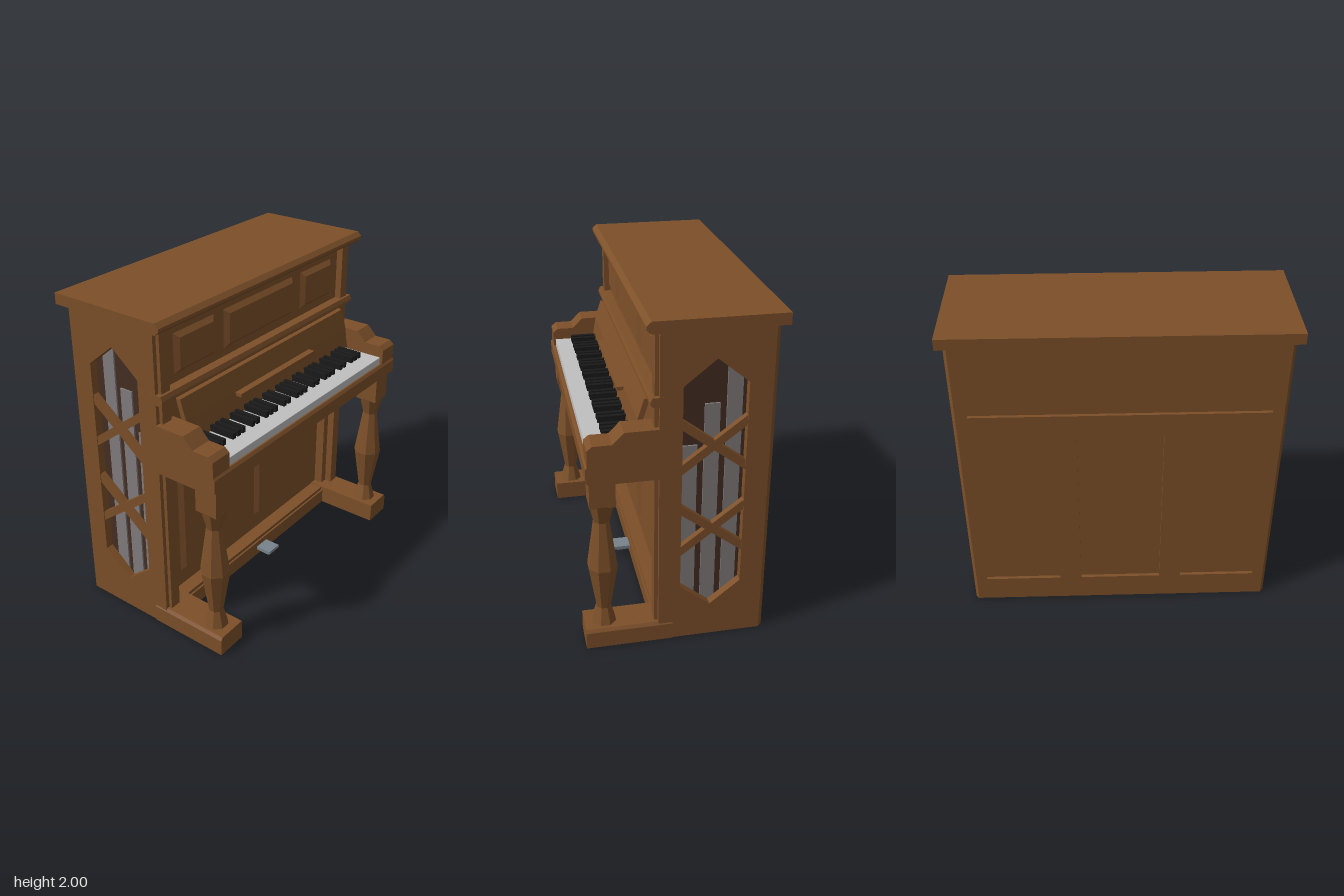
import * as THREE from 'three';

const mat = (name, color) => {
  const m = new THREE.MeshStandardMaterial({ color });
  m.name = name;
  return m;
};

export function createModel() {
  const wood = mat('brown wood', 0x7d5029);
  const dark = mat('dark interior', 0x442e23);
  const ivory = mat('white keys', 0xc0c0c0);
  const ebony = mat('black keys', 0x1a1a1a);
  const pipeGrey = mat('pipe metal', 0x817b7c);
  const steel = mat('pedal metal', 0x78828c);

  const piano = new THREE.Group();
  piano.name = 'uprightPiano';

  const add = (name, geo, material) => {
    const mesh = new THREE.Mesh(geo, material);
    mesh.name = name;
    piano.add(mesh);
    return mesh;
  };

  // Box given by its limits on each axis
  const box = (name, x0, x1, y0, y1, z0, z1, material = wood) => {
    const g = new THREE.BoxGeometry(x1 - x0, y1 - y0, z1 - z0);
    g.translate((x0 + x1) / 2, (y0 + y1) / 2, (z0 + z1) / 2);
    return add(name, g, material);
  };

  // Same box on both sides; xIn and xOut are distances from the centre
  const pair = (name, xIn, xOut, ...rest) => {
    box(name, xIn, xOut, ...rest);
    box(name, -xOut, -xIn, ...rest);
  };

  // Straight extrusion of a point list, with an optional hole
  const extrude = (pts, depth, hole) => {
    const vecs = (list) => list.map(([a, b]) => new THREE.Vector2(a, b));
    const shape = new THREE.Shape(vecs(pts));
    if (hole) shape.holes.push(new THREE.Path(vecs(hole)));
    return new THREE.ExtrudeGeometry(shape, { depth, bevelEnabled: false });
  };

  // Side profile of [z, y] points extruded from x0 to x1
  const profile = (name, pts, x0, x1, material = wood, hole = null) => {
    const g = extrude(pts, x1 - x0, hole);
    g.rotateY(-Math.PI / 2);
    g.translate(x1, 0, 0);
    return add(name, g, material);
  };

  // Raised panel with sloping edges
  const raisedPanel = (name, x0, x1, y0, y1, z, bevel = 0.028, height = 0.025) => {
    const g = new THREE.BoxGeometry(x1 - x0, y1 - y0, height);
    const p = g.attributes.position;
    for (let i = 0; i < p.count; i++) {
      if (p.getZ(i) > 0) {
        p.setX(i, p.getX(i) - Math.sign(p.getX(i)) * bevel);
        p.setY(i, p.getY(i) - Math.sign(p.getY(i)) * bevel);
      }
    }
    g.computeVertexNormals();
    g.translate((x0 + x1) / 2, (y0 + y1) / 2, z + height / 2);
    add(name, g, wood);
  };

  // Case: dark core, floor, upper and lower front boards
  box('interiorCore', -0.83, 0.83, 0.1, 1.93, -0.48, 0.02, dark);
  box('floorBoard', -0.9, 0.9, 0, 0.1, -0.485, 0.1);
  box('upperFrontBoard', -0.9, 0.9, 1.1, 1.932, 0.01, 0.105);
  box('lowerFrontBoard', -0.9, 0.9, 0.1, 1.1, 0.01, 0.04);
  box('topSpacer', -0.925, 0.925, 1.92, 1.94, -0.5, 0.12);

  // Back board with chamfered corners
  const back = extrude([[-0.945, 0.487], [0.945, 0.487], [0.925, 0.51], [-0.925, 0.51]], 1.93);
  back.rotateX(-Math.PI / 2);
  add('backBoard', back, wood);

  // Side walls with hexagonal windows, lattice bars and flat pipes
  const wall = [[-0.487, 0], [0.125, 0], [0.125, 1.93], [-0.487, 1.93]];
  const windowHole = [[0, 0.36], [0, 1.62], [-0.178, 1.765], [-0.355, 1.62], [-0.355, 0.36], [-0.178, 0.215]];
  for (const s of [-1, 1]) {
    profile('sideWall', wall, s * 0.92 - 0.025, s * 0.92 + 0.025, wood, windowHole);
    for (const y of [1.26, 0.735]) {
      for (const d of [-1, 1]) {
        const a = y + d * 0.138, b = y - d * 0.138;
        profile('latticeBar',
          [[0.003, a - 0.03], [0.003, a + 0.03], [-0.358, b + 0.03], [-0.358, b - 0.03]],
          s * 0.922 - 0.018, s * 0.922 + 0.018);
      }
    }
    [1.225, 1.47, 1.75].forEach((top, i) => {
      const z = -0.062 - i * 0.122;
      box('pipe', s * 0.85 - 0.005, s * 0.85 + 0.005, 0.1, top, z - 0.043, z + 0.043, pipeGrey);
    });
  }

  // Back frame: two rails and two stiles
  box('backTopRail', -0.855, 0.855, 1.355, 1.48, -0.53, -0.505);
  box('backBottomRail', -0.855, 0.855, 0.08, 0.195, -0.53, -0.505);
  pair('backStile', 0.25, 0.385, 0.195, 1.355, -0.53, -0.505);

  // Lid with chamfered front edge
  profile('lid', [[-0.547, 1.934], [0.178, 1.934], [0.202, 1.957], [0.202, 1.975], [0.175, 2], [-0.547, 2]], -0.98, 0.98);

  // Corner posts, inner jambs, moulding and raised panels
  pair('cornerPost', 0.85, 0.92, 0.1, 1.934, 0.03, 0.147);
  pair('innerJamb', 0.8, 0.85, 0.1, 1.1, 0.03, 0.1);
  profile('middleMoulding',
    [[0.12, 1.51], [0.15, 1.51], [0.175, 1.53], [0.175, 1.545], [0.163, 1.57], [0.09, 1.57], [0.09, 1.53]], -0.947, 0.947);
  raisedPanel('upperCentrePanel', -0.34, 0.335, 1.62, 1.857, 0.105);
  raisedPanel('lowerPanel', -0.71, -0.043, 0.228, 1.012, 0.04);
  raisedPanel('lowerPanel', 0.043, 0.71, 0.228, 1.012, 0.04);
  raisedPanel('upperSidePanel', -0.768, -0.428, 1.62, 1.857, 0.105);
  raisedPanel('upperSidePanel', 0.425, 0.765, 1.62, 1.857, 0.105);

  // Key bed, arms, fallboard and music ledge
  box('keyBedSupport', -0.9, 0.9, 1.09, 1.2, 0.02, 0.13);
  profile('keyBed',
    [[0.125, 1.09], [0.505, 1.09], [0.525, 1.11], [0.525, 1.19], [0.512, 1.207], [0.125, 1.207]], -0.953, 0.953);
  const arm = [[0.125, 1.2], [0.515, 1.2], [0.515, 1.3], [0.485, 1.325], [0.378, 1.325], [0.315, 1.39], [0.125, 1.39]];
  profile('arm', arm, 0.813, 0.953);
  profile('arm', arm, -0.953, -0.813);
  profile('fallboard',
    [[0.21, 1.2], [0.245, 1.2], [0.24, 1.27], [0.22, 1.39], [0.183, 1.51], [0.152, 1.51], [0.187, 1.39]], -0.815, 0.815);
  box('musicLedge', -0.38, 0.375, 1.368, 1.39, 0.195, 0.263);

  // Keyboard: 36 white keys as one slab, black keys in twos and threes
  box('whiteKeys', -0.8, 0.8, 1.205, 1.255, 0.22, 0.503, ivory);
  const pitch = 1.6 / 36;
  for (let i = 1; i < 36; i++) {
    if (![1, 2, 4, 5, 6].includes(i % 7)) continue;
    const x = -0.8 + i * pitch;
    box('blackKey', x - 0.0125, x + 0.0125, 1.25, 1.292, 0.23, 0.4, ebony);
  }

  // Eight-sided front legs with top blocks, on feet with a chamfered outer edge
  const legPoints = [[0.07, 0.12], [0.041, 0.23], [0.083, 0.51], [0.044, 0.81], [0.072, 0.93]]
    .map(([r, y]) => new THREE.Vector2(r / Math.cos(Math.PI / 8), y));
  const footSection = [[0.755, 0], [0.95, 0], [0.95, 0.105], [0.937, 0.125], [0.755, 0.125]];
  for (const s of [-1, 1]) {
    const leg = new THREE.LatheGeometry(legPoints, 8, Math.PI / 8).toNonIndexed();
    leg.computeVertexNormals();
    leg.translate(s * 0.85, 0, 0.433);
    add('frontLeg', leg, wood);
    const foot = extrude(footSection.map(([x, y]) => [s * x, y]), 0.51);
    foot.translate(0, 0, 0.04);
    add('foot', foot, wood);
  }
  pair('legBlock', 0.78, 0.92, 0.925, 1.095, 0.36, 0.505);

  // Plinth and pedal
  box('plinth', -0.76, 0.76, 0, 0.098, 0.03, 0.14);
  box('plinthCap', -0.76, 0.76, 0.098, 0.12, 0.03, 0.128);
  profile('pedal',
    [[0.12, 0.042], [0.225, 0.038], [0.25, 0.05], [0.245, 0.064], [0.12, 0.064]], -0.053, 0.052, steel);

  return piano;
}
